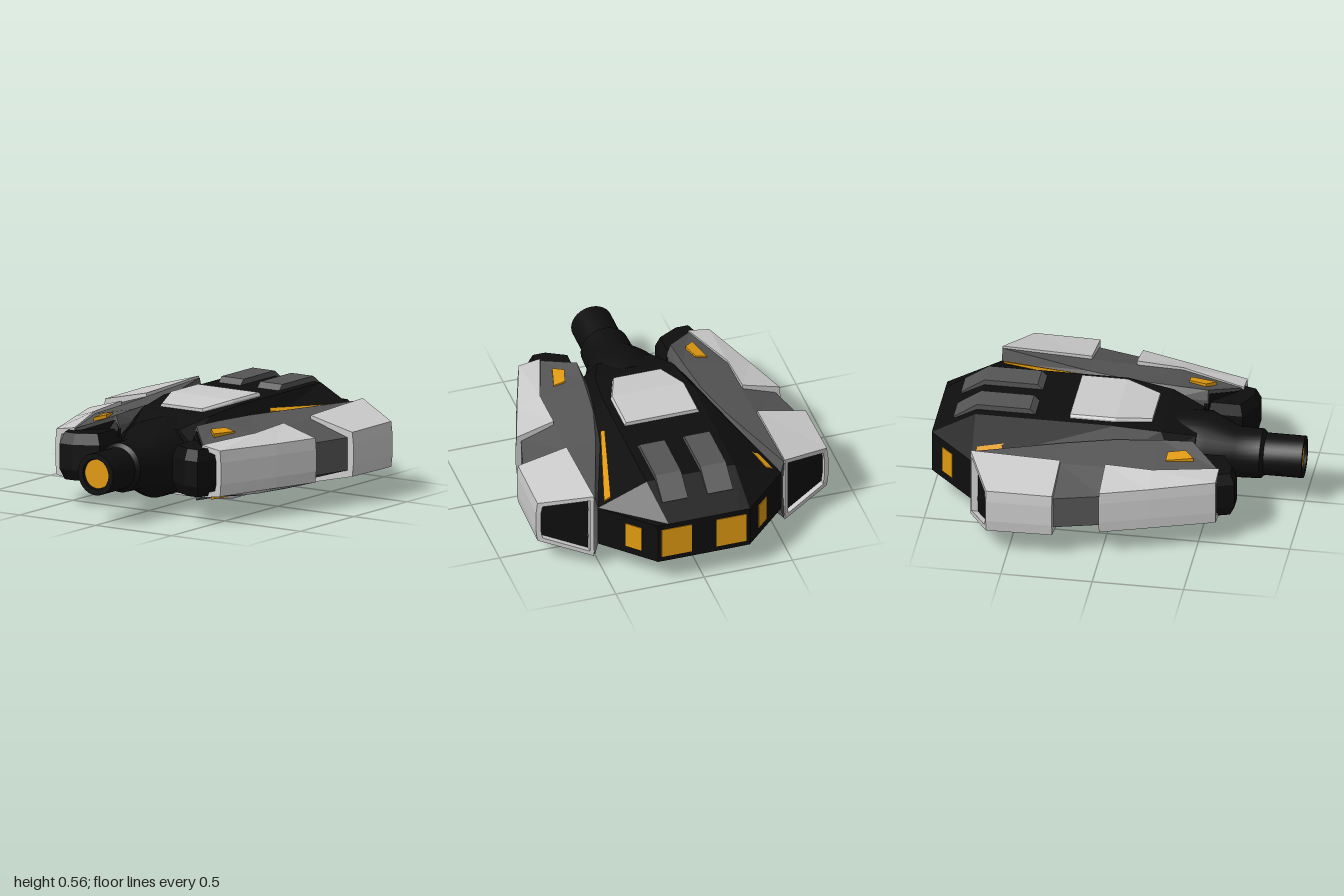
import * as THREE from 'three';
import { toCreasedNormals } from 'three/addons/utils/BufferGeometryUtils.js';

const MID = 0.28; // height of the horizontal symmetry plane
const mat = (color) => new THREE.MeshStandardMaterial({ color, flatShading: true, side: THREE.DoubleSide });

// Closed solid through a list of equal-length loops of [x, y, z]
function loft(loops) {
  const pos = [], n = loops[0].length;
  const tri = (a, b, c) => pos.push(...a, ...b, ...c);
  for (let k = 0; k + 1 < loops.length; k++) {
    for (let i = 0; i < n; i++) {
      const j = (i + 1) % n, A = loops[k], B = loops[k + 1];
      tri(A[i], A[j], B[j]);
      tri(A[i], B[j], B[i]);
    }
  }
  const cap = (loop, flip) => {
    const c = [0, 1, 2].map((a) => loop.reduce((s, p) => s + p[a], 0) / n);
    loop.forEach((p, i) => {
      const q = loop[(i + 1) % n];
      if (flip) tri(c, q, p); else tri(c, p, q);
    });
  };
  cap(loops[0], true);
  cap(loops[loops.length - 1], false);
  // Turn the solid outward if its signed volume is negative
  let volume = 0;
  const a = new THREE.Vector3(), b = new THREE.Vector3(), c = new THREE.Vector3();
  for (let i = 0; i < pos.length; i += 9) {
    a.fromArray(pos, i); b.fromArray(pos, i + 3); c.fromArray(pos, i + 6);
    volume += a.dot(b.cross(c));
  }
  if (volume < 0) {
    for (let i = 0; i < pos.length; i += 9) {
      for (let d = 0; d < 3; d++) [pos[i + 3 + d], pos[i + 6 + d]] = [pos[i + 6 + d], pos[i + 3 + d]];
    }
  }
  const g = new THREE.BufferGeometry();
  g.setAttribute('position', new THREE.Float32BufferAttribute(pos, 3));
  g.computeVertexNormals();
  return g;
}

// Upper half profile -> loop that is symmetric top to bottom
const ring = (pts) => [...pts, ...pts.map(([x, h, z]) => [x, -h, z]).reverse()];
// Quarter profile -> loop that is also symmetric left to right
const fullRing = (pts) => {
  const r = ring(pts);
  return [...r, ...r.map(([x, h, z]) => [-x, h, z]).reverse()];
};
const shift = (loop, dy, dz) => loop.map(([x, y, z]) => [x, y + dy, z + dz]);
const mirror = (loops, sx, sy) => loops.map((l) => l.map(([x, y, z]) => [x * sx, y * sy, z]));

export function createModel() {
  const model = new THREE.Group();
  const ship = new THREE.Group();
  ship.name = 'ship';
  ship.position.y = MID;
  model.add(ship);

  const black = mat(0x0e0e0e), grey = mat(0x555555), silver = mat(0xcccccc), gold = mat(0xe09a10);
  const add = (name, geo, material) => {
    const m = new THREE.Mesh(geo, material);
    m.name = name;
    ship.add(m);
    return m;
  };

  // Central hull: bevelled at the back, narrowing to the front
  add('hull', loft([
    [[0.2, 0.121, -0.997], [0.26, 0.12, -0.997]],
    [[0.25, 0.25, -0.76], [0.52, 0.12, -0.74]],
    [[0.25, 0.25, 0], [0.36, 0.12, 0]],
    [[0.22, 0.22, 0.25], [0.28, 0.12, 0.3]],
    [[0.15, 0.17, 0.43], [0.23, 0.1, 0.43]],
  ].map(fullRing)), black);

  // Nose barrel with a recessed lamp
  const barrel = [[0.001, 0.25], [0.21, 0.3], [0.21, 0.48], [0.14, 0.63], [0.135, 0.77], [0.115, 0.79],
    [0.115, 1], [0.085, 1], [0.08, 0.975], [0.001, 0.975]].map(([r, z]) => new THREE.Vector2(r, z));
  const barrelMat = black.clone();
  barrelMat.flatShading = false;
  add('noseBarrel', toCreasedNormals(new THREE.LatheGeometry(barrel, 32).rotateX(Math.PI / 2), 0.5), barrelMat);
  add('noseLamp', new THREE.CylinderGeometry(0.08, 0.08, 0.01, 32).rotateX(Math.PI / 2).translate(0, 0, 0.98), gold);

  // Armour plates above and below
  const plate = [[0.21, 0.272, -0.25], [0.21, 0.272, 0], [0.14, 0.245, 0.19]].map(([x, h, z]) =>
    [[x - 0.008, h, z], [x, h - 0.012, z], [x, h - 0.04, z], [-x, h - 0.04, z], [-x, h - 0.012, z], [0.008 - x, h, z]]);
  for (const sy of [1, -1]) add('armourPlate', loft(mirror(plate, 1, sy)), silver);

  // Wing sections from the hull outwards: foot, inner edge, crease, outer edge
  const wing = [
    [[0.515, 0.11, -0.74], [0.535, 0.19, -0.74], [0.56, 0.172, -0.66], [0.74, 0.1, -0.5]],
    [[0.345, 0.14, -0.25], [0.375, 0.195, -0.25], [0.54, 0.165, -0.25], [0.785, 0.09, -0.25]],
    [[0.28, 0.15, 0], [0.31, 0.2, 0], [0.53, 0.16, 0], [0.72, 0.09, 0]],
    [[0.25, 0.15, 0.25], [0.28, 0.205, 0.25], [0.53, 0.153, 0.25], [0.62, 0.09, 0.25]],
    [[0.245, 0.15, 0.43], [0.265, 0.205, 0.43], [0.42, 0.14, 0.59], [0.46, 0.1, 0.55]],
  ].map(ring);
  const front = wing[wing.length - 1].map(([x, y, z]) => [x, y * 0.88, z]);
  const wingFront = [shift(front, 0, -0.02), shift(front, 0, 0.005)];

  // Armour pods: inner edge, outer edge, outer bulge; one end has a rim and a recess
  const rearPod = [
    [[0.54, 0.185, -0.25], [0.815, 0.122, -0.25], [0.822, 0.06, -0.25]],
    [[0.54, 0.2, -0.74], [0.82, 0.125, -0.61], [0.828, 0.06, -0.61]],
  ];
  const rearInset = ring([[0.56, 0.17, -0.731], [0.795, 0.105, -0.622], [0.803, 0.055, -0.618]]);
  const frontPod = [
    [[0.535, 0.182, -0.005], [0.745, 0.122, -0.005], [0.75, 0.06, -0.005]],
    [[0.53, 0.168, 0.25], [0.662, 0.122, 0.25], [0.667, 0.06, 0.25]],
    [[0.42, 0.145, 0.6], [0.54, 0.126, 0.6], [0.545, 0.06, 0.6]],
  ];
  const frontInset = ring([[0.425, 0.12, 0.6], [0.505, 0.1, 0.6], [0.515, 0.055, 0.6]]);
  const pods = [
    ['rearPod', rearPod, rearInset, 0.04],
    ['frontPod', frontPod, frontInset, -0.04],
  ];

  // Blunt black nubs between the wing tips and the nose
  const nub = [[0.24, 0.4], [0.24, 0.62], [0.37, 0.69], [0.455, 0.69], [0.49, 0.58], [0.45, 0.4]];
  const nubLevel = (y, s) => nub.map(([x, z]) => [0.37 + (x - 0.37) * s, y, 0.54 + (z - 0.54) * s]);
  const nubLoops = [nubLevel(0.13, 0.82), nubLevel(0.07, 1), nubLevel(-0.07, 1), nubLevel(-0.13, 0.82)];

  // Details repeated in all four quarters
  const ventSide = [[-0.44, 0.2], [-0.44, 0.25], [-0.47, 0.28], [-0.76, 0.28], [-0.89, 0.19], [-0.85, 0.15]];
  const vent = [0.055, 0.2].map((x) => ventSide.map(([z, h]) => [x, h, z]));
  const slab = (top) => [top, shift(top, -0.025, 0)];
  const wingMark = slab([[0.37, 0.19, 0.31], [0.434, 0.175, 0.31], [0.397, 0.18, 0.455], [0.344, 0.194, 0.405]]);
  const hullStripe = slab([[0.44, 0.164, -0.72], [0.478, 0.146, -0.72], [0.325, 0.194, -0.18], [0.308, 0.208, -0.2]]);

  for (const sx of [1, -1]) {
    const side = sx > 0 ? 'left' : 'right';
    const put = (name, loops, material, sy = 1) => add(side + name, loft(mirror(loops, sx, sy)), material);
    put('Wing', wing, grey);
    put('WingFront', wingFront, black);
    put('Nub', nubLoops, black);
    for (const [name, sections, inset, depth] of pods) {
      const label = name[0].toUpperCase() + name.slice(1);
      put(label, [...sections.map(ring), inset, shift(inset, 0, depth)], silver);
      put(label + 'Recess', [shift(inset, 0, depth * 0.85), shift(inset, 0, depth * 1.2)], black);
    }
    for (const sy of [1, -1]) {
      put('Vent', vent, grey, sy);
      put('WingMark', wingMark, gold, sy);
      put('HullStripe', hullStripe, gold, sy);
    }
    // Engine lights on the back face and on its bevel
    add(side + 'EngineLight', new THREE.BoxGeometry(0.17, 0.18, 0.02), gold).position.set(sx * 0.155, 0, -0.99);
    const small = add(side + 'BevelLight', new THREE.BoxGeometry(0.095, 0.15, 0.02), gold);
    small.position.set(sx * 0.36, 0, -0.89);
    small.rotation.y = sx * Math.PI * 0.75;
  }
  return model;
}
